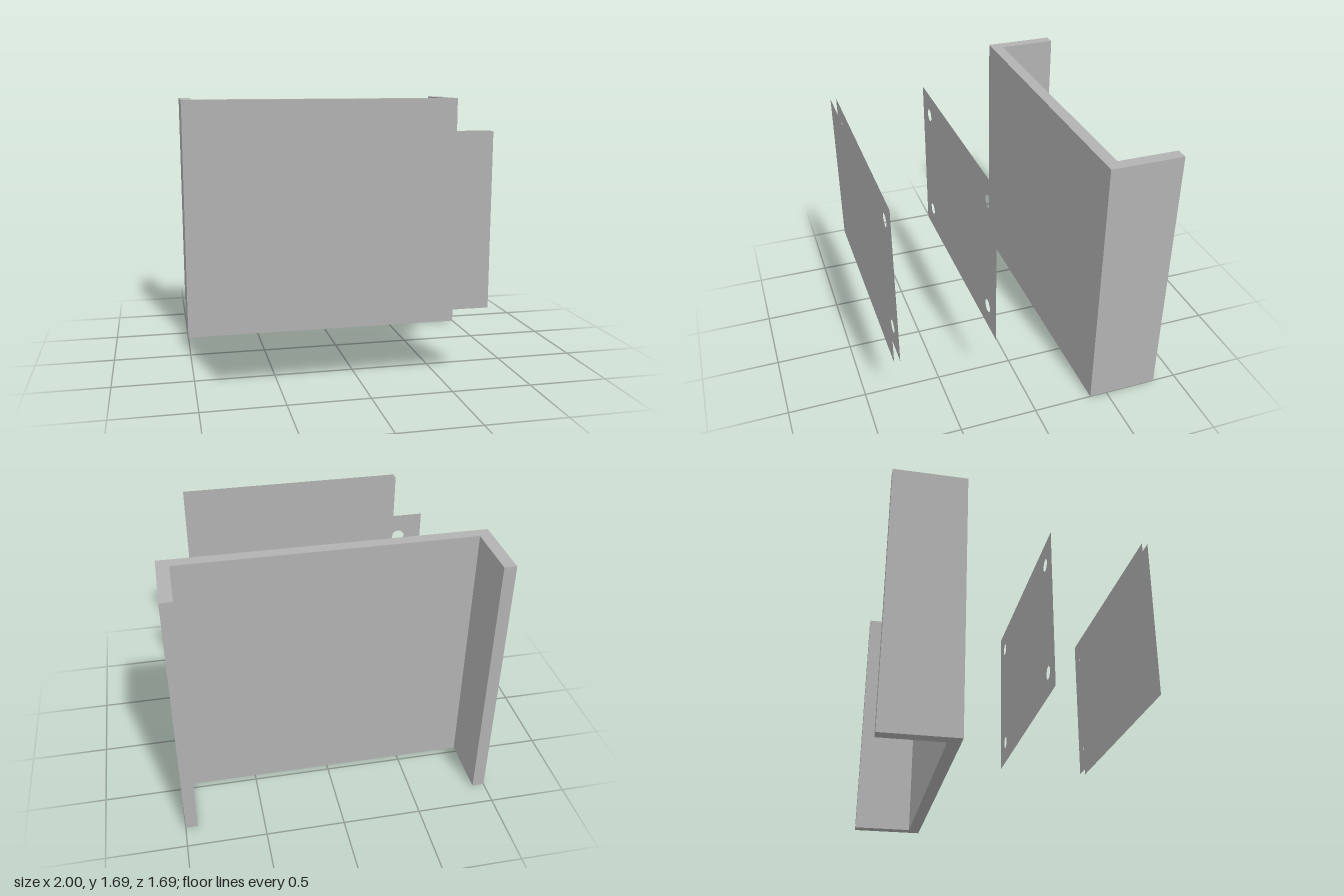
import * as THREE from 'three';

const U = 1 / 13; // module unit: the bracket is 26 units wide

export function createModel() {
  const group = new THREE.Group();
  const grey = new THREE.MeshStandardMaterial({ color: 0xb2b2b2, side: THREE.DoubleSide });
  grey.name = 'lightGrey';

  const add = (name, geometry, x = 0, y = 0, z = 0) => {
    const mesh = new THREE.Mesh(geometry, grey);
    mesh.name = name;
    mesh.position.set(x, y, z);
    group.add(mesh);
  };

  const back = -11 * U, face = -5 * U, front = 11 * U;
  const holes = [[-8, 8], [8, 8], [-8, 18], [8, 18]];
  const holeRadius = 0.044;

  // U-shaped bracket: plan outline (x, -z) extruded upwards
  const outline = [
    [-13, 5], [13, 5], [13, 11], [12, 11], [12, 6], [-12, 6], [-12, 11], [-13, 11],
  ].map(([x, y]) => new THREE.Vector2(x * U, y * U));
  const bracket = new THREE.ExtrudeGeometry(new THREE.Shape(outline), { depth: 22 * U, bevelEnabled: false });
  bracket.rotateX(-Math.PI / 2);
  add('bracket', bracket);

  // Flat discs and corner squares on the bracket face
  for (const [x, y] of holes) {
    add('bracketDisc', new THREE.CircleGeometry(holeRadius, 8, Math.PI / 8), x * U, y * U, face + 0.002);
  }
  for (const side of [-1, 1]) {
    add('cornerSquare', new THREE.PlaneGeometry(3 * U, 3 * U), side * 10.5 * U, 2.5 * U, face + 0.002);
  }

  // Thin sheet with four mounting holes
  const drilledSheet = () => {
    const shape = new THREE.Shape([[-10, 6], [10, 6], [10, 20], [-10, 20]]
      .map(([x, y]) => new THREE.Vector2(x * U, y * U)));
    for (const [x, y] of holes) {
      const points = [];
      for (let i = 0; i < 8; i++) {
        const a = -(i + 0.5) * Math.PI / 4;
        points.push(new THREE.Vector2(x * U + holeRadius * Math.cos(a), y * U + holeRadius * Math.sin(a)));
      }
      shape.holes.push(new THREE.Path(points));
    }
    return new THREE.ShapeGeometry(shape);
  };
  add('middleSheet', drilledSheet(), 0, 0, face + 7.5 * U);
  add('backingSheet', drilledSheet(), 0, 0, front - 0.5 * U);

  // Plain front cover
  add('frontSheet', new THREE.PlaneGeometry(20 * U, 14 * U), 0, 13 * U, front);

  return group;
}
